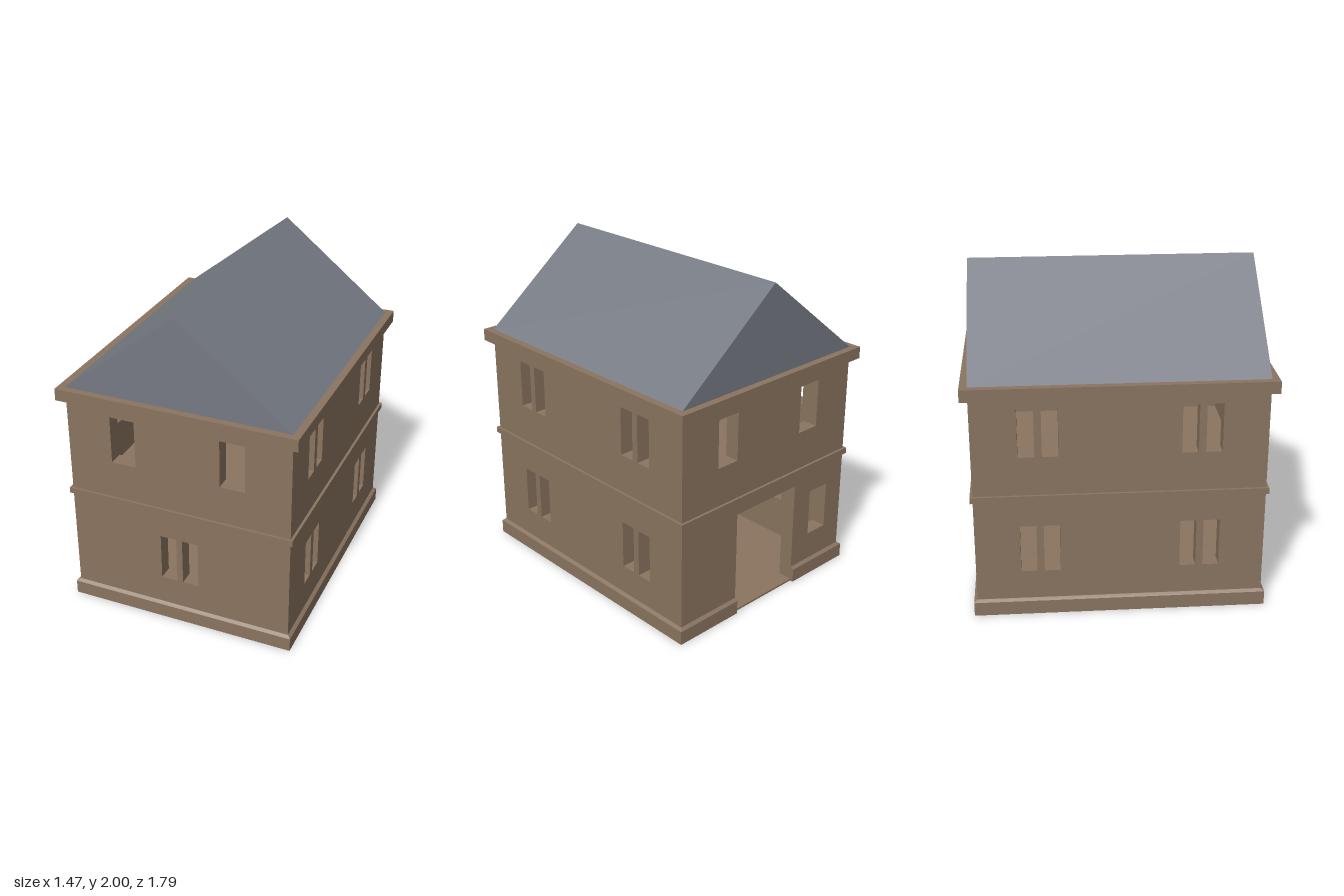
import * as THREE from 'three';

const HX = 0.69, HZ = 0.851, T = 0.09; // outer half sizes and wall thickness
const EAVES = 1.45, RIDGE = 2;
const DOOR_W = 0.25, DOOR_H = 0.665;
const LOWER = [0.28, 0.577], UPPER = [1.016, 1.313];

// Closed rectangle path
function rect(P, x0, x1, y0, y1) {
  const p = new P();
  p.moveTo(x0, y0);
  p.lineTo(x1, y0);
  p.lineTo(x1, y1);
  p.lineTo(x0, y1);
  p.closePath();
  return p;
}

const extrude = (shape, depth, steps = 1) =>
  new THREE.ExtrudeGeometry(shape, { depth, steps, bevelEnabled: false });

// Wall panel with window openings, running from z = 0 to z = T
function wallPanel(half, windows, door) {
  const s = new THREE.Shape();
  s.moveTo(-half, 0);
  if (door) {
    s.lineTo(-DOOR_W, 0);
    s.lineTo(-DOOR_W, DOOR_H);
    s.lineTo(DOOR_W, DOOR_H);
    s.lineTo(DOOR_W, 0);
  }
  s.lineTo(half, 0);
  s.lineTo(half, EAVES - 0.01);
  s.lineTo(-half, EAVES - 0.01);
  s.closePath();
  for (const [x0, x1, [y0, y1]] of windows) s.holes.push(rect(THREE.Path, x0, x1, y0, y1));
  return extrude(s, T);
}

// Horizontal band around the building
function band(out, y0, y1) {
  const x = HX + out, z = HZ + out;
  const s = rect(THREE.Shape, -x, x, -z, z);
  s.holes.push(rect(THREE.Path, -HX + 0.04, HX - 0.04, -HZ + 0.04, HZ - 0.04));
  return extrude(s, y1 - y0).rotateX(-Math.PI / 2).translate(0, y0, 0);
}

// Plinth with a gap at the back door and a sloping top edge
function plinthGeometry() {
  const x = HX + 0.02, z = HZ + 0.02, xi = HX - 0.04, zi = HZ - 0.04;
  const s = new THREE.Shape([
    [-DOOR_W, z], [-x, z], [-x, -z], [x, -z], [x, z], [DOOR_W, z],
    [DOOR_W, zi], [xi, zi], [xi, -zi], [-xi, -zi], [-xi, zi], [-DOOR_W, zi],
  ].map(([a, b]) => new THREE.Vector2(a, b)));
  const g = extrude(s, 0.1, 2).rotateX(-Math.PI / 2);
  const p = g.attributes.position;
  for (let i = 0; i < p.count; i++) {
    const y = p.getY(i);
    if (y > 0.08) {
      p.setX(i, THREE.MathUtils.clamp(p.getX(i), -HX - 0.002, HX + 0.002));
      p.setZ(i, THREE.MathUtils.clamp(p.getZ(i), -HZ - 0.002, HZ + 0.002));
    } else if (y > 0.02) p.setY(i, 0.086);
  }
  g.computeVertexNormals();
  return g;
}

export function createModel() {
  const house = new THREE.Group();
  house.name = 'house';
  const stone = new THREE.MeshStandardMaterial({ color: 0x8a7460 });
  stone.name = 'brownStone';
  const slate = new THREE.MeshStandardMaterial({ color: 0x767a83 });
  slate.name = 'greySlate';

  const add = (name, geometry, material = stone) => {
    const m = new THREE.Mesh(geometry, material);
    m.name = name;
    house.add(m);
    return m;
  };

  // Front and back walls
  const upperPair = [[-0.415, -0.262, UPPER], [0.262, 0.415, UPPER]];
  const frontWindows = [...upperPair, [-0.119, -0.019, LOWER], [0.019, 0.119, LOWER]];
  add('frontWall', wallPanel(HX, frontWindows)).position.z = HZ - T;
  const backWindows = [...upperPair, [-0.55, -0.395, LOWER]];
  add('backWall', wallPanel(HX, backWindows, true)).position.z = -HZ;

  // Side walls with paired windows on both floors
  const sideWindows = [];
  for (const level of [LOWER, UPPER]) {
    for (const [a, b] of [[0.352, 0.448], [0.49, 0.586]]) {
      sideWindows.push([a, b, level], [-b, -a, level]);
    }
  }
  for (const [name, x] of [['leftWall', HX - T], ['rightWall', -HX]]) {
    const wall = add(name, wallPanel(HZ - T, sideWindows));
    wall.rotation.y = Math.PI / 2;
    wall.position.x = x;
  }

  // Floors
  add('groundFloor', new THREE.BoxGeometry(HX * 2, 0.012, HZ * 2)).position.y = 0.006;
  add('upperFloor', new THREE.BoxGeometry((HX - T) * 2, 0.06, (HZ - T) * 2)).position.y = 0.74;

  // Mouldings
  add('plinth', plinthGeometry());
  add('beltCourse', band(0.016, 0.742, 0.779));
  add('cornice', band(0.044, 1.377, EAVES));

  // Gabled roof
  const gable = new THREE.Shape();
  gable.moveTo(-HX, EAVES);
  gable.lineTo(HX, EAVES);
  gable.lineTo(0, RIDGE);
  gable.closePath();
  add('roof', extrude(gable, HZ * 2), slate).position.z = -HZ;

  return house;
}
